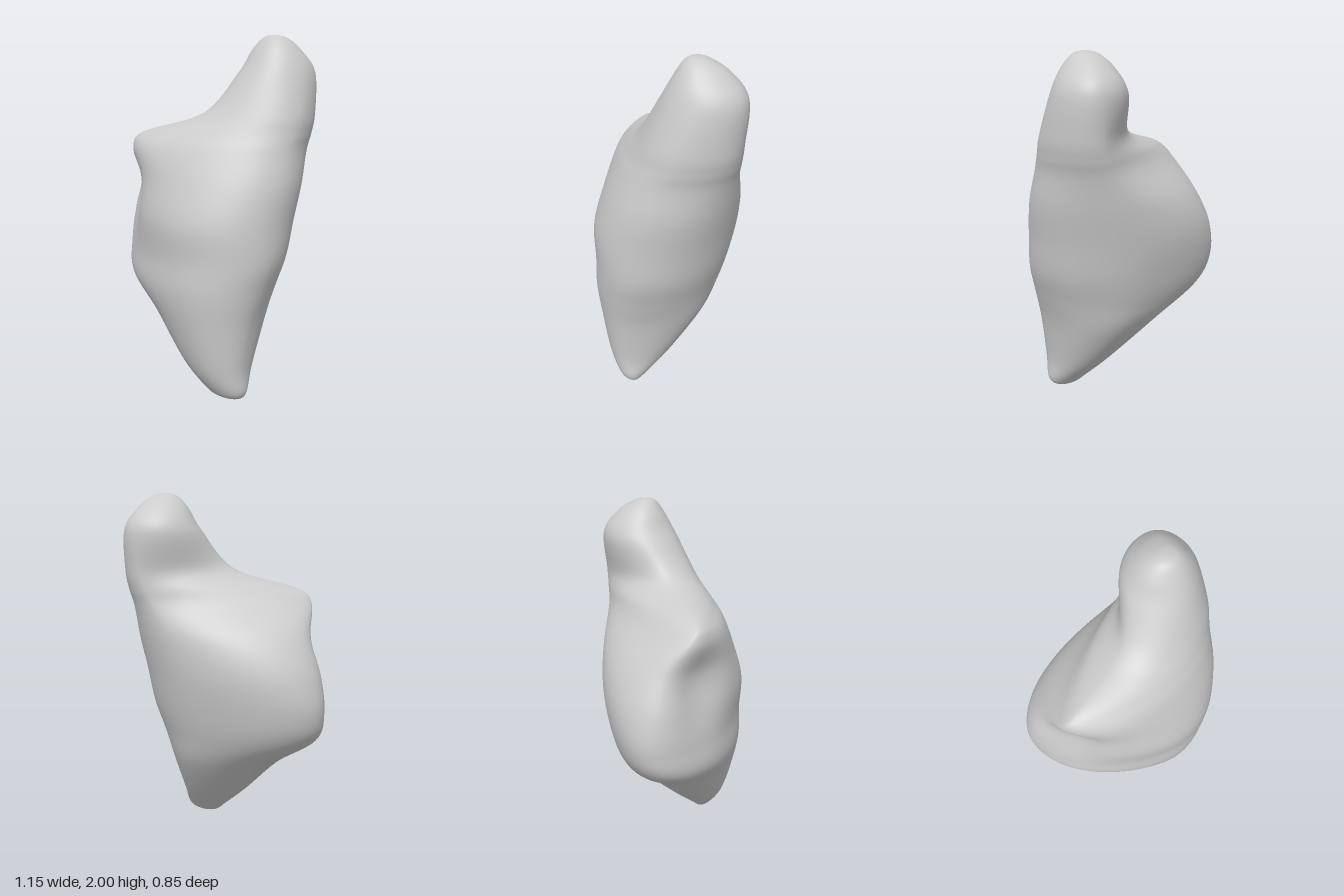
import * as THREE from 'three';

// Cross-sections from bottom to top. Each row gives the height and the four
// extreme points of the section: y, left x,z, right x,z, front x,z, back x,z
const SECTIONS = [
  [0.00, 0.29, 0.18, 0.29, 0.18, 0.29, 0.18, 0.29, 0.18],
  [0.012, 0.22, 0.19, 0.37, 0.18, 0.30, 0.22, 0.30, 0.15],
  [0.06, 0.16, 0.20, 0.42, 0.19, 0.30, 0.28, 0.28, 0.10],
  [0.20, 0.00, 0.18, 0.42, 0.20, 0.25, 0.345, 0.23, -0.03],
  [0.45, -0.26, 0.08, 0.45, 0.18, 0.18, 0.40, 0.13, -0.21],
  [0.63, -0.515, 0.02, 0.495, 0.14, 0.15, 0.425, 0.05, -0.29],
  [0.80, -0.575, -0.03, 0.54, 0.10, 0.14, 0.42, 0.04, -0.34],
  [1.00, -0.55, -0.02, 0.555, 0.05, 0.12, 0.425, 0.05, -0.38],
  [1.20, -0.48, 0.04, 0.57, 0.00, 0.05, 0.375, 0.15, -0.395],
  [1.38, -0.43, 0.16, 0.56, -0.05, -0.08, 0.32, 0.29, -0.39],
  [1.47, -0.33, 0.17, 0.565, -0.09, -0.02, 0.25, 0.34, -0.40],
  [1.58, 0.01, 0.01, 0.565, -0.13, 0.20, 0.14, 0.37, -0.41],
  [1.80, 0.13, -0.18, 0.53, -0.21, 0.32, 0.01, 0.37, -0.42],
  [1.92, 0.20, -0.18, 0.465, -0.18, 0.34, -0.06, 0.36, -0.335],
  [1.985, 0.27, -0.17, 0.40, -0.17, 0.34, -0.11, 0.35, -0.23],
  [2.00, 0.335, -0.16, 0.335, -0.16, 0.335, -0.16, 0.335, -0.16],
];

// Smooth interpolation of a whole row between neighbouring sections
function sectionAt(t) {
  const last = SECTIONS.length - 1;
  const i = Math.min(Math.floor(t), last - 1);
  const f = t - i;
  const p = SECTIONS[Math.max(i - 1, 0)], q = SECTIONS[i];
  const r = SECTIONS[i + 1], s = SECTIONS[Math.min(i + 2, last)];
  return q.map((v, k) => {
    const m0 = (r[k] - p[k]) / 2, m1 = (s[k] - v) / 2;
    const d = v - r[k];
    return v + f * (m0 + f * (-3 * d - 2 * m0 - m1 + f * (2 * d + m0 + m1)));
  });
}

const bell = (y, centre, width) => Math.exp(-(((y - centre) / width) ** 2));

// Point on a section: four elliptical quadrants joined at the extreme points.
// The left side is flattened behind the shoulder and on the lower front.
function pointAt(t, angle) {
  const [y, lx, lz, rx, rz, fx, fz, bx, bz] = sectionAt(t);
  const c = Math.cos(angle), s = Math.sin(angle);
  const [sx, sz] = c > 0 ? [rx, rz] : [lx, lz];
  const [ex, ez] = s > 0 ? [fx, fz] : [bx, bz];
  let power = 1;
  if (c < 0) power += s < 0 ? 0.5 * bell(y, 1.46, 0.2) : 0.15 * bell(y, 0.8, 0.35);
  return new THREE.Vector3(
    ex + (sx - ex) * Math.abs(c) ** power,
    Math.min(2, Math.max(0, y)),
    sz + (ez - sz) * Math.abs(s) ** power);
}

// Tall hollow on the front left, below the shoulder
const DENT = new THREE.Vector3(-0.38, 1.1, 0.2);
const DENT_PUSH = new THREE.Vector3(0.05, 0, -0.05);

function dentAmount(p) {
  const d = p.clone().sub(DENT);
  d.y *= 0.7;
  return Math.exp(-d.lengthSq() / 0.025);
}

function rockGeometry(rows = 120, cols = 80) {
  const positions = [], index = [];
  for (let j = 0; j <= rows; j++) {
    for (let i = 0; i < cols; i++) {
      const p = pointAt((j / rows) * (SECTIONS.length - 1), (i / cols) * Math.PI * 2);
      p.addScaledVector(DENT_PUSH, dentAmount(p));
      positions.push(p.x, p.y, p.z);
      if (j < rows) {
        const a = j * cols + i, b = j * cols + (i + 1) % cols;
        if (j < rows - 1) index.push(a + cols, b + cols, b);
        if (j > 0) index.push(a, a + cols, b);
        else index.push(a, a + cols, b + cols);
      }
    }
  }
  const geometry = new THREE.BufferGeometry();
  geometry.setAttribute('position', new THREE.Float32BufferAttribute(positions, 3));
  geometry.setIndex(index);
  geometry.computeVertexNormals();
  return geometry;
}

export function createModel() {
  const group = new THREE.Group();
  group.name = 'rock';
  const rock = new THREE.Mesh(rockGeometry(), new THREE.MeshStandardMaterial({ color: 0xcccccc }));
  rock.name = 'rockBody';
  group.add(rock);
  return group;
}
